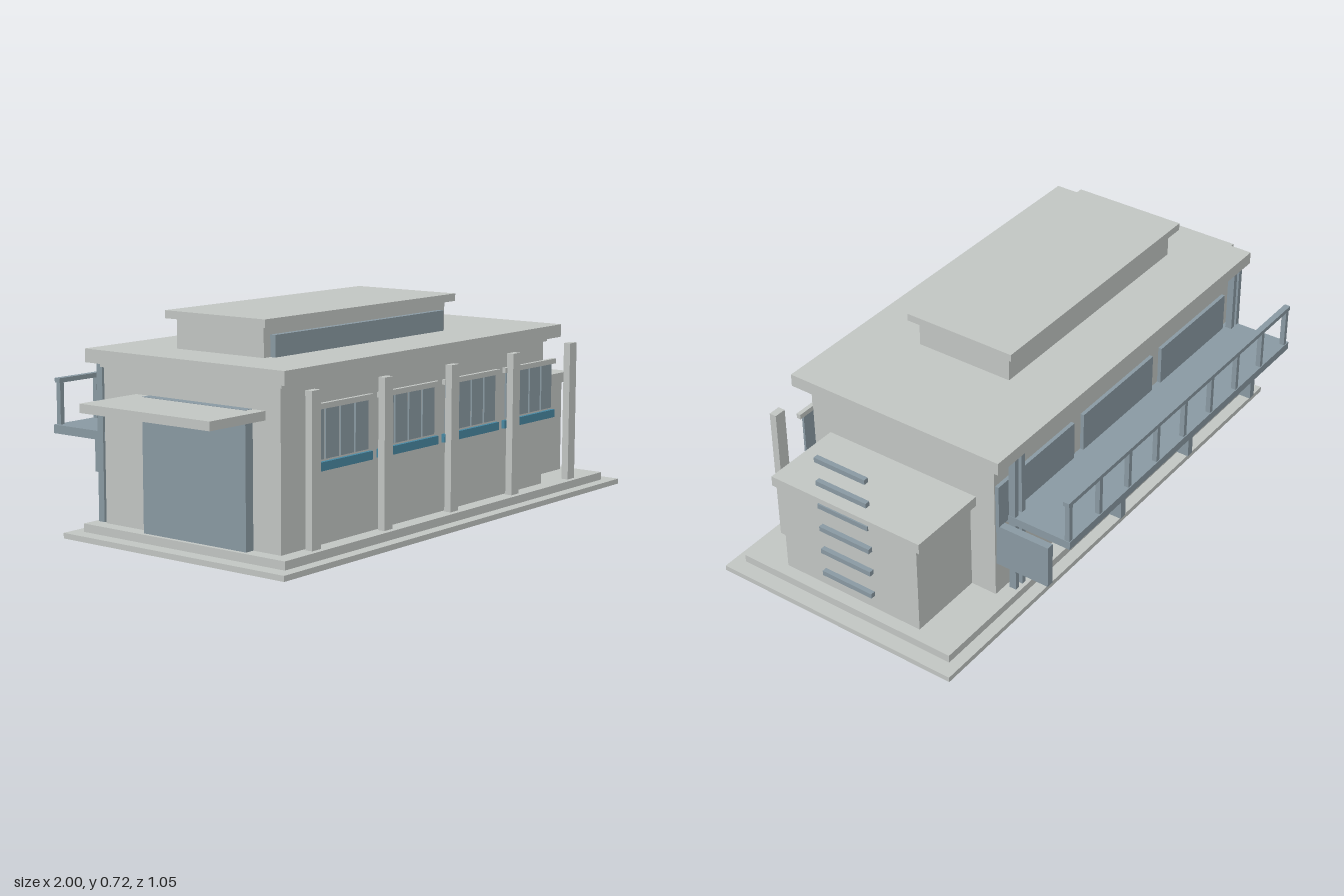
import * as THREE from 'three';

export function createModel() {
  const model = new THREE.Group();
  model.name = 'building';

  const mat = (name, color) => {
    const m = new THREE.MeshStandardMaterial({ color });
    m.name = name;
    return m;
  };
  const concrete = mat('concrete', 0xc5c9c6);
  const glass = mat('blueGrey', 0x8c9ca5);
  const teal = mat('teal', 0x4a8aa5);

  // Box from its lower and upper limits on each axis
  const block = (name, material, [x0, x1], [y0, y1], [z0, z1], parent = model) => {
    const mesh = new THREE.Mesh(new THREE.BoxGeometry(x1 - x0, y1 - y0, z1 - z0), material);
    mesh.position.set((x0 + x1) / 2, (y0 + y1) / 2, (z0 + z1) / 2);
    mesh.name = name;
    parent.add(mesh);
    return mesh;
  };
  const around = (c, size) => [c - size / 2, c + size / 2];
  const group = (name) => {
    const g = new THREE.Group();
    g.name = name;
    model.add(g);
    return g;
  };

  // Stepped base
  block('baseSlab', concrete, [-0.855, 1], [0, 0.018], [-0.375, 0.525]);
  block('upperBaseSlab', concrete, [-0.805, 0.947], [0.018, 0.045], [-0.335, 0.486]);

  // Main hall with frieze and flat roof
  block('mainHall', concrete, [-0.757, 0.637], [0.045, 0.54], [-0.283, 0.432]);
  block('frieze', concrete, [-0.765, 0.645], [0.54, 0.555], [-0.292, 0.442]);
  block('mainRoof', concrete, [-0.795, 0.675], [0.555, 0.598], [-0.327, 0.478]);

  // Raised roof storey
  block('roofStorey', concrete, [-0.62, 0.306], [0.598, 0.693], [-0.1, 0.252]);
  block('roofStoreyCap', concrete, [-0.645, 0.332], [0.693, 0.718], [-0.127, 0.278]);
  block('clerestoryWindow', glass, [-0.59, 0.275], [0.598, 0.666], [0.252, 0.272]);

  // Side annex
  block('annex', concrete, [0.637, 0.905], [0.045, 0.365], [-0.19, 0.34]);
  block('annexRoof', concrete, [0.637, 0.92], [0.365, 0.4], [-0.213, 0.363]);

  // Horizontal bars stacked up the annex end
  const bars = group('sideBars');
  for (let i = 0; i < 6; i++) {
    block('sideBar', glass, [0.908, 0.925], around(0.107 + i * 0.0886, 0.017), [-0.02, 0.175], bars);
  }

  // Side entrance: tall door panel under a canopy
  block('entrancePanel', glass, [-0.79, -0.757], [0.045, 0.469], [-0.09, 0.325]);
  block('entranceCanopy', concrete, [-1, -0.757], [0.44, 0.468], [-0.145, 0.375]);

  // Front pilasters, the last one standing free
  const pilasters = group('frontPilasters');
  for (let i = 0; i < 5; i++) {
    block('pilaster', concrete, around(-0.636 + i * 0.3528, 0.042), [0.045, 0.523], [0.442, 0.467], pilasters);
  }

  // Front window bays: four panes, a lintel and a sill each
  const bays = group('frontWindows');
  for (let i = 0; i < 4; i++) {
    const c = -0.488 + i * 0.344;
    for (let p = 0; p < 4; p++) {
      block('pane', glass, around(c + (p - 1.5) * 0.072, 0.063), [0.305, 0.46], [0.43, 0.438], bays);
    }
    block('lintel', concrete, around(c, 0.31), [0.458, 0.475], [0.43, 0.445], bays);
    block('sill', teal, around(c, 0.31), [0.271, 0.298], [0.43, 0.444], bays);
  }

  // Rear upper windows
  const rear = group('rearWindows');
  for (const c of [0.43, -0.027, -0.485]) {
    block('rearWindow', glass, around(c, 0.405), [0.315, 0.468], [-0.296, -0.28], rear);
  }

  // Rear balcony with wall brackets
  const balcony = group('rearBalcony');
  block('balconyFloor', glass, [-0.745, 0.585], [0.304, 0.332], [-0.525, -0.283], balcony);
  for (let i = 0; i < 4; i++) {
    block('balconyBracket', glass, around(0.617 - i * 0.405, 0.026), [0.165, 0.316], [-0.476, -0.283], balcony);
  }

  // Balcony railing
  block('topRail', glass, [-0.738, 0.59], [0.467, 0.482], [-0.524, -0.503], balcony);
  for (let i = 0; i < 9; i++) {
    block('railPost', glass, around(-0.725 + i * 0.1625, 0.016), [0.332, 0.467], [-0.522, -0.505], balcony);
  }

  // Paired rear columns
  const columns = group('rearColumns');
  for (const x of [0.575, 0.54, -0.71, -0.742]) {
    block('rearColumn', glass, around(x, 0.018), [0.045, 0.555], [-0.322, -0.298], columns);
  }

  return model;
}
